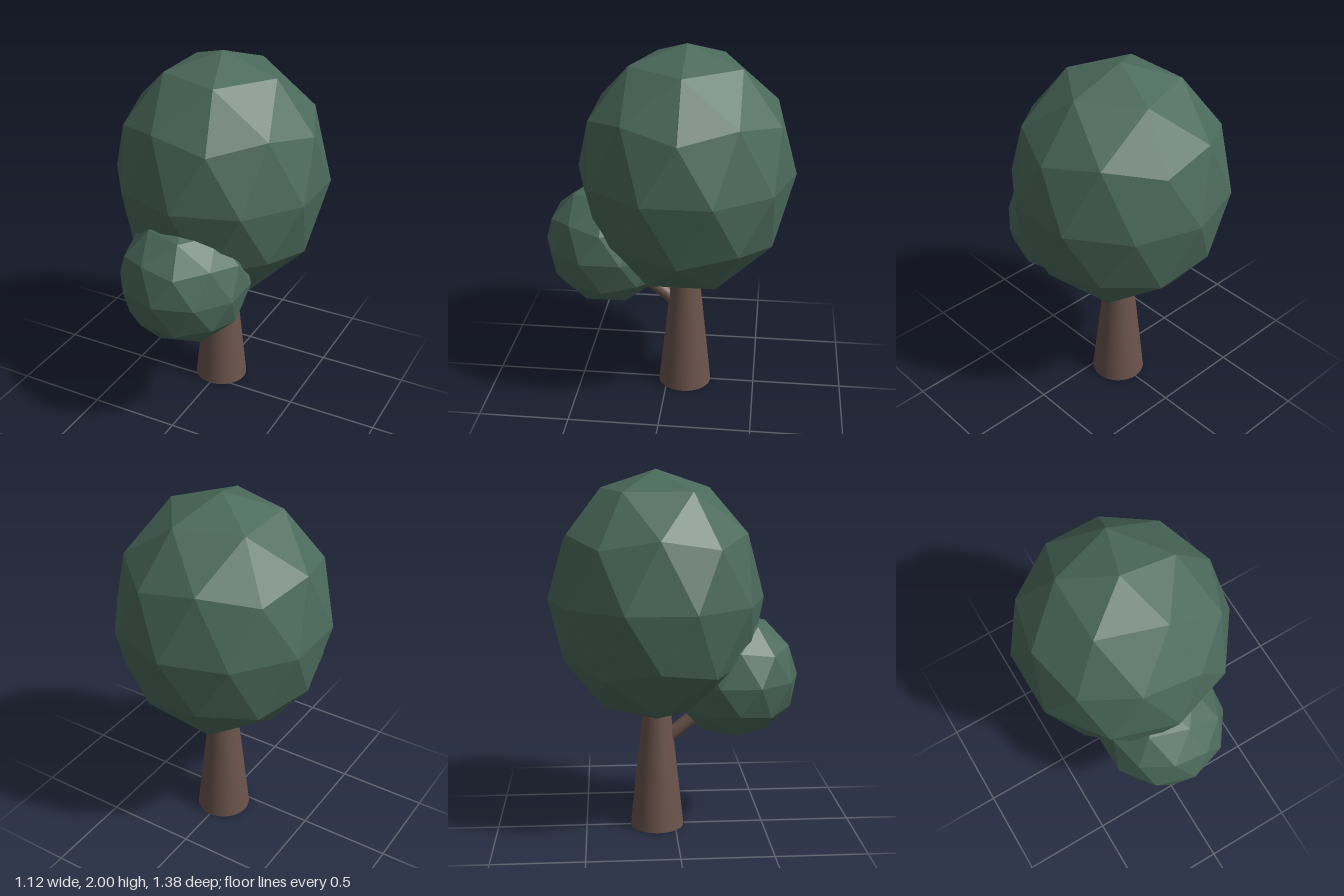
import * as THREE from 'three';

const leafMaterial = new THREE.MeshStandardMaterial({ color: 0x4b6a5b, flatShading: true });
const barkMaterial = new THREE.MeshStandardMaterial({ color: 0x6a534b });

// Faceted foliage ball with a vertex at the pole and a ring vertex towards +x
function foliage(name, radius, height, y, z) {
  const geometry = new THREE.IcosahedronGeometry(1, 1);
  geometry.rotateX(-Math.atan((1 + Math.sqrt(5)) / 2));
  geometry.rotateY(Math.PI / 2);
  geometry.scale(radius, height, radius);
  geometry.computeVertexNormals();
  const mesh = new THREE.Mesh(geometry, leafMaterial);
  mesh.name = name;
  mesh.position.set(0, y, z);
  return mesh;
}

// Round tapered limb between two points
function limb(name, from, to, r0, r1) {
  const axis = to.clone().sub(from);
  const mesh = new THREE.Mesh(new THREE.CylinderGeometry(r1, r0, axis.length(), 32), barkMaterial);
  mesh.name = name;
  mesh.position.copy(from).add(to).multiplyScalar(0.5);
  mesh.quaternion.setFromUnitVectors(new THREE.Vector3(0, 1, 0), axis.normalize());
  return mesh;
}

export function createModel() {
  const tree = new THREE.Group();
  tree.name = 'tree';
  const v = (y, z) => new THREE.Vector3(0, y, z);
  tree.add(
    limb('trunk', v(0, -0.1), v(0.75, -0.1), 0.15, 0.07),
    limb('branch', v(0.47, -0.1), v(0.75, 0.25), 0.038, 0.038),
    foliage('mainCrown', 0.59, 0.69, 1.31, -0.1),
    foliage('smallCrown', 0.355, 0.35, 0.87, 0.33)
  );
  return tree;
}
